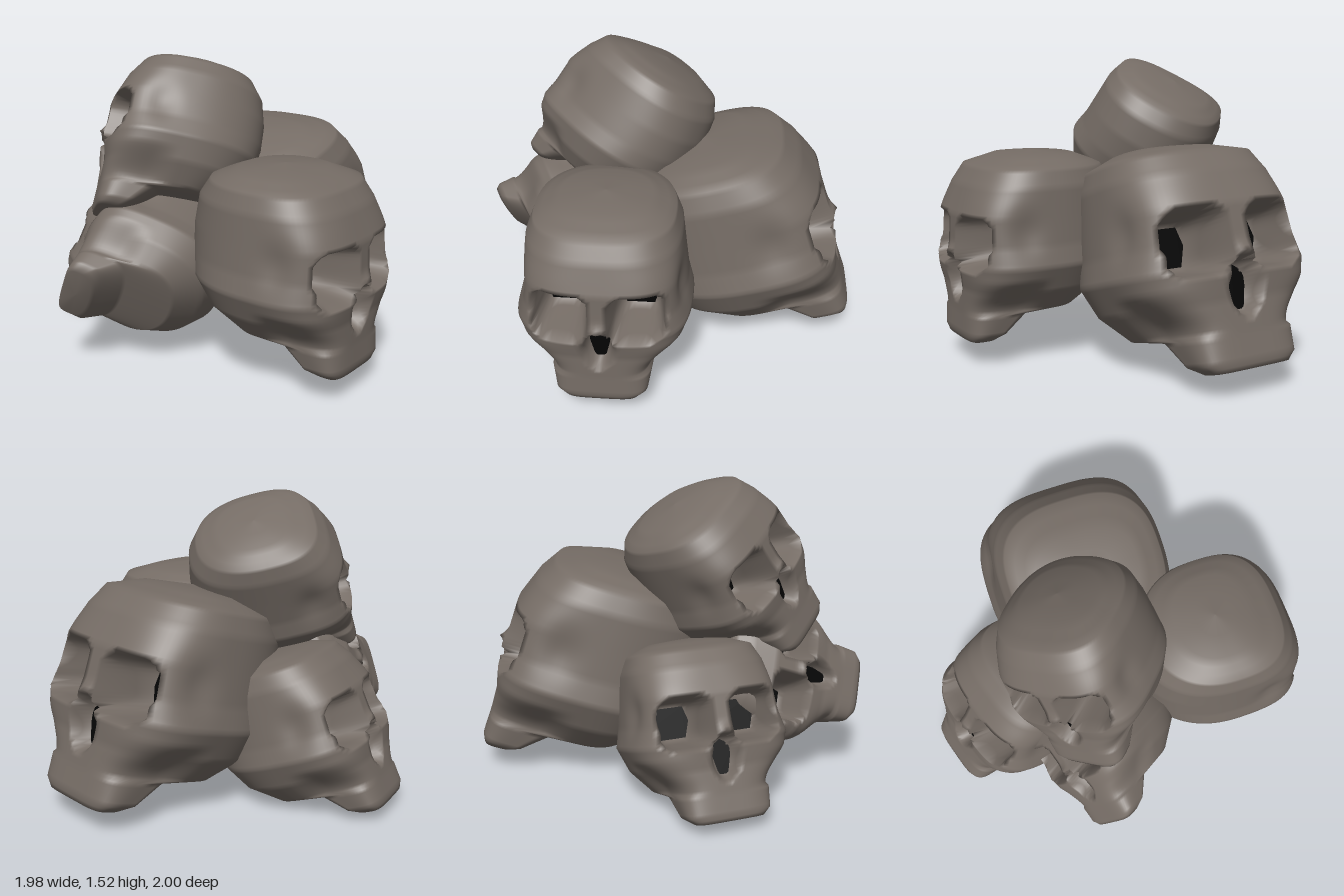
import * as THREE from 'three';

const bone = new THREE.MeshStandardMaterial({ color: 0x756c65 });
bone.name = 'bone';
const hollow = new THREE.MeshStandardMaterial({ color: 0x040404 });
hollow.name = 'hollow';

// Horizontal sections of a skull facing +z: height, half width, front z, widest z, back z
const LEVELS = [
  [0.0, 0.0, 0.3, 0.3, 0.3],
  [0.005, 0.18, 0.385, 0.3, 0.22],
  [0.04, 0.225, 0.395, 0.25, 0.18],
  [0.14, 0.245, 0.39, 0.16, 0.06],
  [0.155, 0.27, 0.39, 0.0, -0.22],
  [0.27, 0.37, 0.39, 0.0, -0.38],
  [0.4, 0.425, 0.415, 0.02, -0.46],
  [0.5, 0.4, 0.405, 0.02, -0.48],
  [0.64, 0.385, 0.4, 0.02, -0.48],
  [0.78, 0.37, 0.345, 0.0, -0.45],
  [0.87, 0.335, 0.285, -0.02, -0.385],
  [0.92, 0.22, 0.13, -0.04, -0.25],
  [0.94, 0.0, -0.04, -0.04, -0.04],
];
const SEGMENTS = 112;
const { lerp, smoothstep } = THREE.MathUtils;

// Point on one section, with snout, temples, eye sockets and nose shaped by rule
function skullPoint([y, w, front, mid, back], t) {
  const c = Math.cos(t), s = Math.sin(t);
  const facePower = 4.5 - 1.3 * smoothstep(y, 0.22, 0.42) - 0.4 * smoothstep(y, 0.66, 0.8);
  const p = s > 0 ? facePower : 2.3;
  const r = 1 / Math.pow(Math.abs(c) ** p + Math.abs(s) ** p, 1 / p);
  let x = c * r * w;
  let z = mid + s * r * (s > 0 ? front - mid : mid - back);

  // snout narrower than the braincase
  const limit = lerp(0.245, 0.43, smoothstep(y, 0.15, 0.4));
  if (w > limit) x *= lerp(1, limit / w, smoothstep(z, 0.02, 0.18));

  // hollow temples behind the brow
  x *= 1 - 0.06 * Math.exp(-(((z - 0.17) / 0.08) ** 2) - ((y - 0.57) / 0.1) ** 2);

  if (z > 0.12) {
    // nasal bone, eye sockets, nose opening
    z += 0.035 * Math.exp(-((x / 0.035) ** 2) - ((y - 0.43) / 0.04) ** 2);
    const eye = ((Math.abs(x) - 0.18) / 0.1) ** 4 + ((y - 0.505) / 0.1) ** 4;
    z = lerp(z, Math.min(z, 0.13), 1 - smoothstep(eye, 0.65, 3));
    const nose = (x / 0.058) ** 2 + ((y - 0.32) / 0.1) ** 2;
    z = lerp(z, 0.31, 1 - smoothstep(nose, 0.7, 1.7));
  }
  return [x, y, z];
}

function skullGeometry() {
  const rings = [];
  for (let i = 0; i < LEVELS.length - 1; i++) {
    const a = LEVELS[i], b = LEVELS[i + 1];
    const steps = Math.max(1, Math.ceil((b[0] - a[0]) / 0.018));
    for (let k = 0; k < steps; k++) rings.push(a.map((v, j) => lerp(v, b[j], k / steps)));
  }
  rings.push(LEVELS[LEVELS.length - 1]);

  const positions = [], index = [];
  rings.forEach((ring, i) => {
    for (let j = 0; j < SEGMENTS; j++) {
      positions.push(...skullPoint(ring, (j / SEGMENTS) * Math.PI * 2));
      if (i === rings.length - 1) continue;
      const a = i * SEGMENTS + j, b = i * SEGMENTS + ((j + 1) % SEGMENTS);
      index.push(a, a + SEGMENTS, b, b, a + SEGMENTS, b + SEGMENTS);
    }
  });
  const geometry = new THREE.BufferGeometry();
  geometry.setAttribute('position', new THREE.Float32BufferAttribute(positions, 3));
  geometry.setIndex(index);
  geometry.computeVertexNormals();
  return geometry;
}

function plate(points) {
  return new THREE.ShapeGeometry(new THREE.Shape(points.map(([x, y]) => new THREE.Vector2(x, y))));
}

export function createModel() {
  const model = new THREE.Group();
  model.name = 'skullPile';

  const skullGeo = skullGeometry();
  const eyeGeo = plate([[-0.09, 0], [-0.07, -0.08], [0.065, -0.08], [0.09, 0.005], [0.065, 0.08], [-0.07, 0.08]]);
  const noseGeo = plate([[-0.025, -0.09], [0.025, -0.09], [0.052, 0.02], [0.04, 0.06], [0, 0.085], [-0.04, 0.06], [-0.052, 0.02]]);

  function addSkull(name, position, yaw, pitch, roll, scale) {
    const skull = new THREE.Group();
    skull.name = name;
    const add = (geo, mat, part, x, y, z) => {
      const mesh = new THREE.Mesh(geo, mat);
      mesh.name = part;
      mesh.position.set(x, y, z);
      skull.add(mesh);
    };
    add(skullGeo, bone, 'cranium', 0, 0, 0);
    add(eyeGeo, hollow, 'leftEyeHollow', 0.18, 0.505, 0.145);
    add(eyeGeo, hollow, 'rightEyeHollow', -0.18, 0.505, 0.145);
    add(noseGeo, hollow, 'noseHollow', 0, 0.32, 0.32);
    skull.position.set(...position);
    skull.rotation.set(-pitch, yaw, roll, 'YXZ');
    skull.scale.setScalar(scale);
    model.add(skull);
  }

  addSkull('frontSkull', [-0.25, 0.13, 0.56], 0, 0, 0, 1);
  addSkull('sideSkull', [0.55, 0.01, 0], Math.PI / 2, 0.29, 0, 1.2);
  addSkull('backSkull', [-0.16, -0.05, -0.655], -2.84, 0.38, 0, 0.93);
  addSkull('topSkull', [-0.455, 0.7, -0.08], -2.335, 0.25, 0.5, 0.9);
  addSkull('cornerSkull', [-0.82, 0.34, -0.015], -2.61, 0.39, 1.15, 0.84);

  return model;
}
